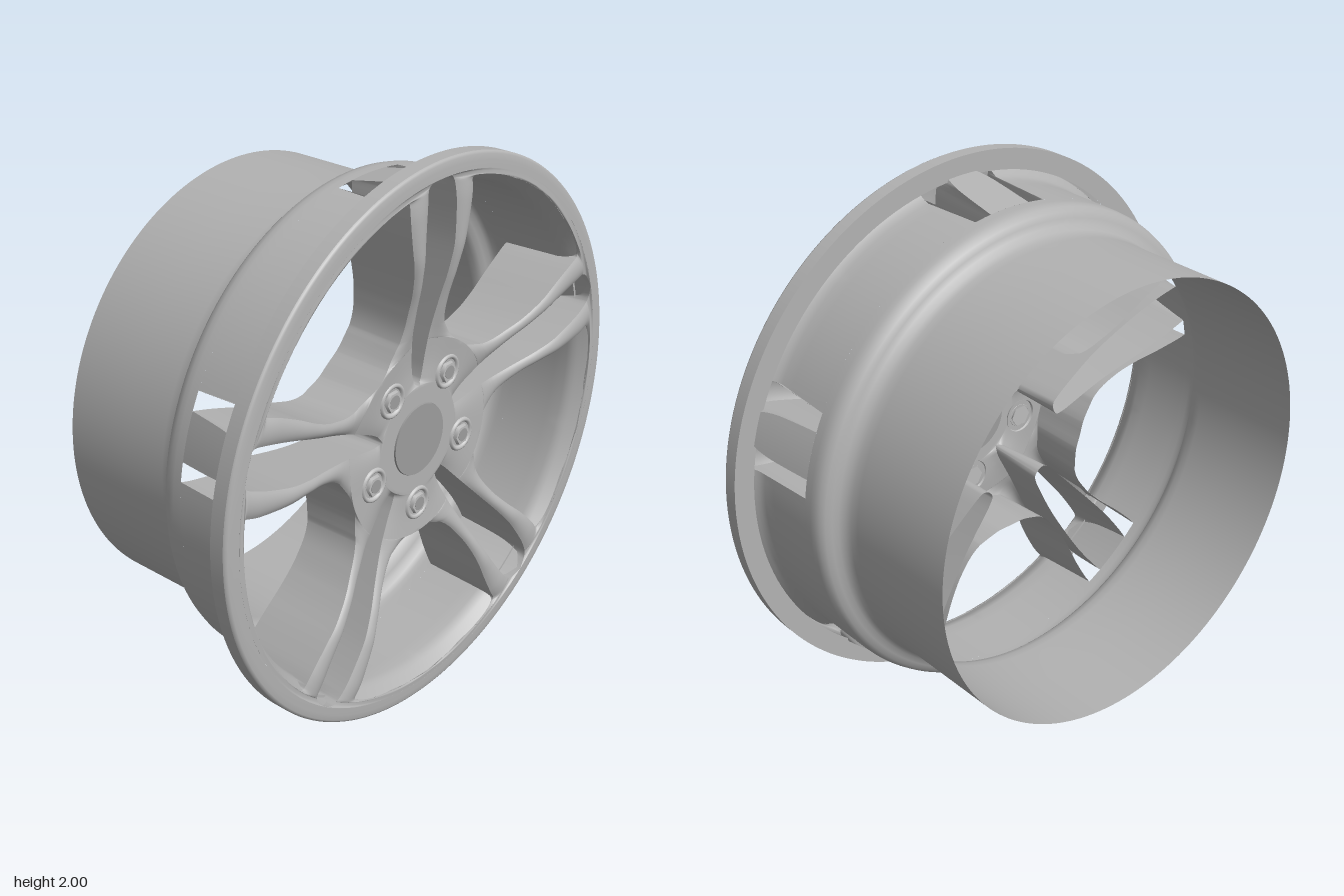
import * as THREE from 'three';
import { mergeVertices } from 'three/addons/utils/BufferGeometryUtils.js';

const DEG = Math.PI / 180;

// Smooth monotone interpolation through [position, value] knots
function curve(knots) {
  const n = knots.length;
  const d = knots.slice(1).map((k, i) => (k[1] - knots[i][1]) / (k[0] - knots[i][0]));
  const m = knots.map((k, i) => {
    if (i === 0) return d[0];
    if (i === n - 1) return d[n - 2];
    return d[i - 1] * d[i] <= 0 ? 0 : (2 * d[i - 1] * d[i]) / (d[i - 1] + d[i]);
  });
  return (r) => {
    if (r <= knots[0][0]) return knots[0][1];
    if (r >= knots[n - 1][0]) return knots[n - 1][1];
    let i = 0;
    while (r > knots[i + 1][0]) i++;
    const h = knots[i + 1][0] - knots[i][0], t = (r - knots[i][0]) / h, t2 = t * t, t3 = t2 * t;
    return (2 * t3 - 3 * t2 + 1) * knots[i][1] + (t3 - 2 * t2 + t) * h * m[i]
      + (3 * t2 - 2 * t3) * knots[i + 1][1] + (t3 - t2) * h * m[i + 1];
  };
}

// Slot edge and window edge: [radius, degrees from the spoke pair's axis]
const slotKnots = [[.2, 0], [.204, 2.5], [.22, 5], [.26, 6.3], [.32, 6.6], [.4, 6.7], [.5, 6.6], [.6, 6.4],
  [.7, 6.1], [.8, 5.4], [.89, 4.5], [.92, 4], [.938, 2.8], [.944, 0]];
const windowKnots = [[.36, 36], [.3605, 32], [.364, 28], [.38, 23], [.397, 19.5], [.416, 16.4], [.46, 13.4],
  [.5, 12.1], [.57, 10.8], [.65, 10.5], [.75, 10.7], [.85, 10.5], [.89, 10.2], [.91, 10], [.918, 10.4],
  [.922, 12], [.925, 16], [.9255, 36]];
const slot = curve(slotKnots);
const win = curve(windowKnots);
const front = curve([[.13, .37], [.25, .37], [.36, .378], [.5, .405], [.62, .435], [.72, .45], [.85, .452], [.944, .445]]);
const back = curve([[.2, .13], [.5, .16], [.75, .15], [.89, .14]]);
const lipX = curve([[.89, .37], [.897, .392], [.91, .415], [.9255, .44]]);

// Rows through all the knots, refined between them
const radii = [];
const stops = [...new Set([.13, .17, .29, ...slotKnots.map(k => k[0]), ...windowKnots.map(k => k[0])])].sort((a, b) => a - b);
stops.forEach((r, i) => {
  radii.push(r);
  if (i < stops.length - 1) for (const t of [1 / 3, 2 / 3]) radii.push(r + (stops[i + 1] - r) * t);
});
const between = (lo, hi) => radii.filter(r => r >= lo && r <= hi);

const slotDraft = (r) => slot(r) + .012 / r / DEG * Math.min(1, slot(r) / 4);
const winDraft = (r) => win(r) - .015 / r / DEG * (1 - win(r) / 36);

// Front face height, softly dropped towards open edges
function faceX(r, t) {
  const a = Math.min(1, slot(r) / 4), b = Math.min(1, (36 - win(r)) / 12);
  return front(r) - .013 * (a * (1 - t) ** 4 + b * t ** 4);
}

// Grid patch in (radius, degrees, x), mirrored and repeated for the five spoke pairs
function patch(rows, cols, point) {
  const pos = [], idx = [];
  for (let k = 0; k < 5; k++) for (const s of [1, -1]) {
    const base = pos.length / 3;
    rows.forEach((row) => {
      for (let j = 0; j <= cols; j++) {
        const [r, deg, x] = point(row, j / cols);
        const th = (k * 72 + s * deg) * DEG;
        pos.push(x, r * Math.cos(th), r * Math.sin(th));
      }
    });
    for (let i = 0; i < rows.length - 1; i++) for (let j = 0; j < cols; j++) {
      const a = base + i * (cols + 1) + j, b = a + 1, c = a + cols + 1, d = c + 1;
      if (s > 0) idx.push(a, c, b, b, c, d);
      else idx.push(a, b, c, b, d, c);
    }
  }
  let g = new THREE.BufferGeometry();
  g.setAttribute('position', new THREE.Float32BufferAttribute(pos, 3));
  g.setIndex(idx);
  g = mergeVertices(g, 1e-5);
  g.computeVertexNormals();
  return g;
}

// Lathe about the x axis from [radius, x] points
function turned(points, segments) {
  return new THREE.LatheGeometry(points.map(p => new THREE.Vector2(p[0], p[1])), segments).rotateZ(-Math.PI / 2);
}

export function createModel() {
  const model = new THREE.Group();
  const wheel = new THREE.Group();
  wheel.name = 'wheel';
  wheel.position.y = 1;
  model.add(wheel);

  const alloy = new THREE.MeshStandardMaterial({ color: 0xb2b2b2, side: THREE.DoubleSide });
  alloy.name = 'alloy';
  const capGrey = new THREE.MeshStandardMaterial({ color: 0x9c9c9c });
  capGrey.name = 'cap grey';
  const boltSilver = new THREE.MeshStandardMaterial({ color: 0xbcbcbc, side: THREE.DoubleSide });
  boltSilver.name = 'bolt silver';

  const add = (name, geometry, material, parent = wheel) => {
    const mesh = new THREE.Mesh(geometry, material);
    mesh.name = name;
    parent.add(mesh);
    return mesh;
  };

  // Spoked face and its deep side walls, open at the back
  add('spokeFace', patch(radii, 10, (r, t) => [r, slot(r) + (win(r) - slot(r)) * t, faceX(r, t)]), alloy);
  const tongueX = (r) => r <= .89 ? back(r) : .14 + (r - .89) / .054 * .29;
  add('slotWalls', patch(between(.2, .944), 4, (r, t) =>
    [r, slot(r) + (slotDraft(r) - slot(r)) * t, faceX(r, 0) + (tongueX(r) - faceX(r, 0)) * t]), alloy);
  const windowBack = (r) => r <= .89 ? back(r) : lipX(r);
  add('windowWalls', patch(between(.36, .9255), 4, (r, t) => {
    const deep = r <= .89 ? winDraft(r) : win(r);
    return [r, win(r) + (deep - win(r)) * t, faceX(r, 1) + (windowBack(r) - faceX(r, 1)) * t];
  }), alloy);

  // Barrel: plain rear drum, then front band with openings behind the spokes
  add('barrel', turned([[.805, -.46], [.805, -.2], [.805, -.03], [.808, 0], [.815, .022], [.83, .038], [.85, .046],
    [.87, .055], [.883, .07], [.889, .09], [.89, .11], [.89, .14]], 160), alloy);
  const edge = (x) => winDraft(.89) + (win(.89) - winDraft(.89)) * (x - .14) / .23;
  const bandRows = [.14, .2, .26, .32, .37].map(x => [.89, x, edge(x)])
    .concat(between(.8901, .9255).map(r => [r, lipX(r), win(r)]));
  add('barrelFrontBand', patch(bandRows, 12, ([r, x, deg], t) => [r, deg + (36 - deg) * t, x]), alloy);
  add('slotEnds', patch(between(.89, .944), 4, (r, t) => [r, slotDraft(r) * t, tongueX(r)]), alloy);

  // Rim flange, in separate turned faces to keep the edges crisp
  add('flangeBack', turned([[.925, .38], [1, .38]], 160), alloy);
  add('flangeEdge', turned([[1, .38], [1, .432]], 160), alloy);
  add('flangeFront', turned([[1, .432], [.997, .438], [.99, .442], [.97, .444], [.944, .445]], 160), alloy);

  // Centre cap
  const cap = add('centreCap', new THREE.CylinderGeometry(.128, .13, .03, 64).rotateZ(-Math.PI / 2), capGrey);
  cap.position.x = .36;

  // Five bolts, each a collar with a recessed hexagonal head
  for (let k = 0; k < 5; k++) {
    const th = (36 + 72 * k) * DEG;
    const bolt = new THREE.Group();
    bolt.name = 'bolt';
    bolt.position.set(.368, .248 * Math.cos(th), .248 * Math.sin(th));
    add('collar', turned([[.064, -.004], [.06, .008], [.054, .011], [.048, .008], [.044, .001]], 40), boltSilver, bolt);
    const head = add('head', new THREE.CylinderGeometry(.036, .042, .02, 6).rotateZ(-Math.PI / 2), boltSilver, bolt);
    head.position.x = .004;
    const socket = add('socket', new THREE.CylinderGeometry(.024, .024, .004, 24).rotateZ(-Math.PI / 2), capGrey, bolt);
    socket.position.x = .0135;
    wheel.add(bolt);
  }
  return model;
}
